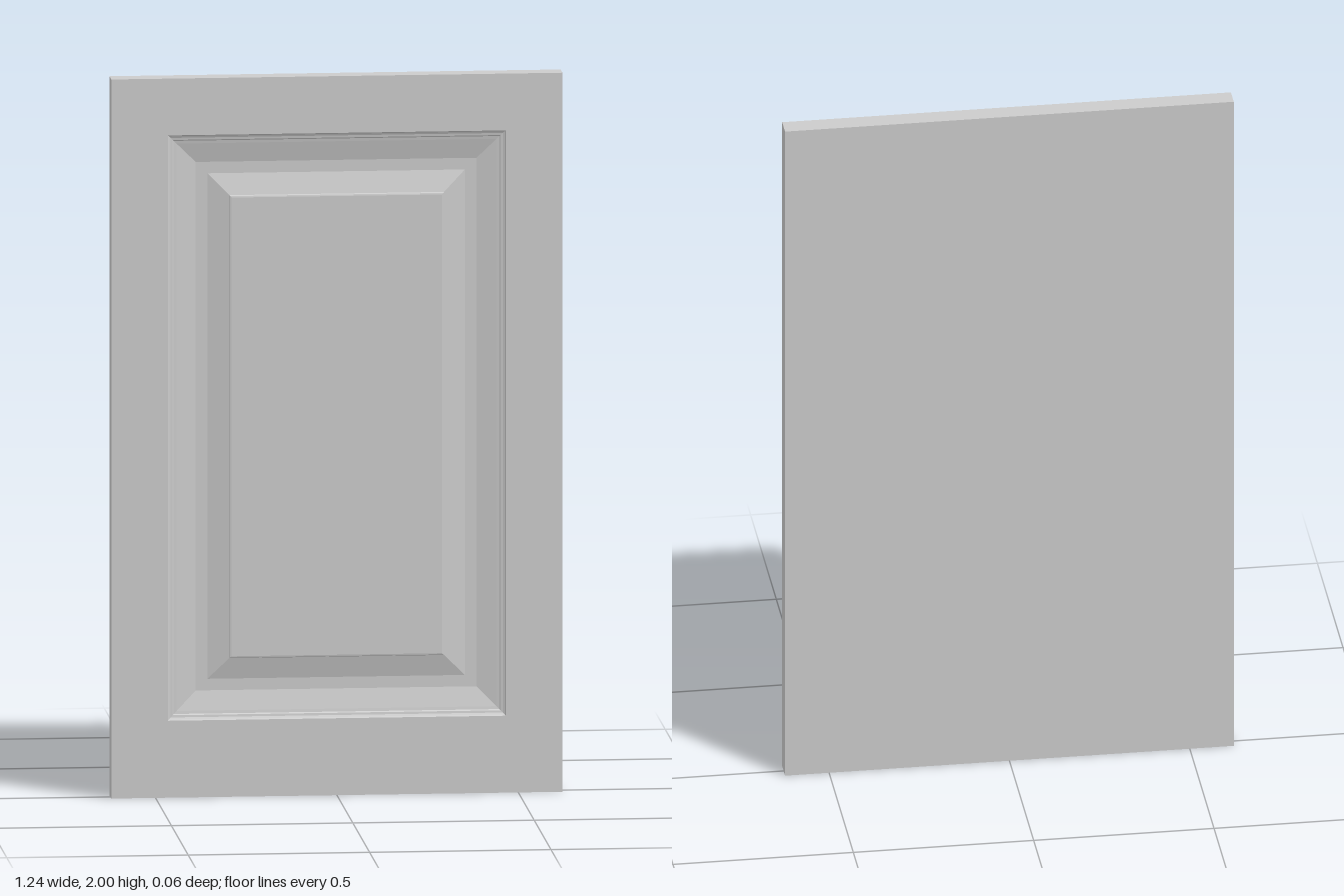
import * as THREE from 'three';

const HALF_W = 0.622, HEIGHT = 2, HALF_T = 0.028;
// outer edge of the recess
const RECESS = { x: 0.466, bottom: 0.214, top: 1.842 };

// four corners of a rectangle, counter-clockwise from the front
const rect = (x, bottom, top, z) => [
  [-x, bottom, z], [x, bottom, z], [x, top, z], [-x, top, z],
];

const recessRing = ([inset, z]) =>
  rect(RECESS.x - inset, RECESS.bottom + inset, RECESS.top - inset, z);

// mitred bands between successive rectangles, with optional flat end caps
function loft(name, rings, { capStart = false, capEnd = false } = {}) {
  const positions = [];
  const quad = (a, b, c, d) => positions.push(...a, ...b, ...c, ...a, ...c, ...d);
  for (let r = 0; r < rings.length - 1; r++) {
    for (let i = 0; i < 4; i++) {
      const j = (i + 1) % 4;
      quad(rings[r][i], rings[r][j], rings[r + 1][j], rings[r + 1][i]);
    }
  }
  if (capStart) quad(...[...rings[0]].reverse());
  if (capEnd) quad(...rings[rings.length - 1]);
  const geometry = new THREE.BufferGeometry();
  geometry.setAttribute('position', new THREE.Float32BufferAttribute(positions, 3));
  geometry.computeVertexNormals();
  const material = new THREE.MeshStandardMaterial({ color: 0xcccccc, flatShading: true });
  const mesh = new THREE.Mesh(geometry, material);
  mesh.name = name;
  return mesh;
}

export function createModel() {
  const group = new THREE.Group();
  group.name = 'raisedPanelDoor';

  // moulding profile: [inset from recess edge, z]
  const profile = [
    [0, HALF_T],
    [0.003, 0.024], [0.008, 0.0215], [0.014, 0.0205], // rounded lip
    [0.017, 0.018], [0.025, 0.0165],                  // small step
    [0.079, 0.003], [0.111, 0.003],                   // slope down to channel
    [0.170, 0.019], [0.172, 0.0235],                  // bevel up, then step
    [0.176, 0.0245],
  ];
  const rings = profile.map(recessRing);

  // back, edges and flat front border
  group.add(loft('frame', [
    rect(HALF_W, 0, HEIGHT, -HALF_T),
    rect(HALF_W, 0, HEIGHT, HALF_T),
    rings[0],
  ], { capStart: true }));

  // lip and step around the recess
  group.add(loft('outerMoulding', rings.slice(0, 6)));

  // sloped channel and bevel with the raised flat centre
  group.add(loft('raisedPanel', rings.slice(5), { capEnd: true }));

  return group;
}
